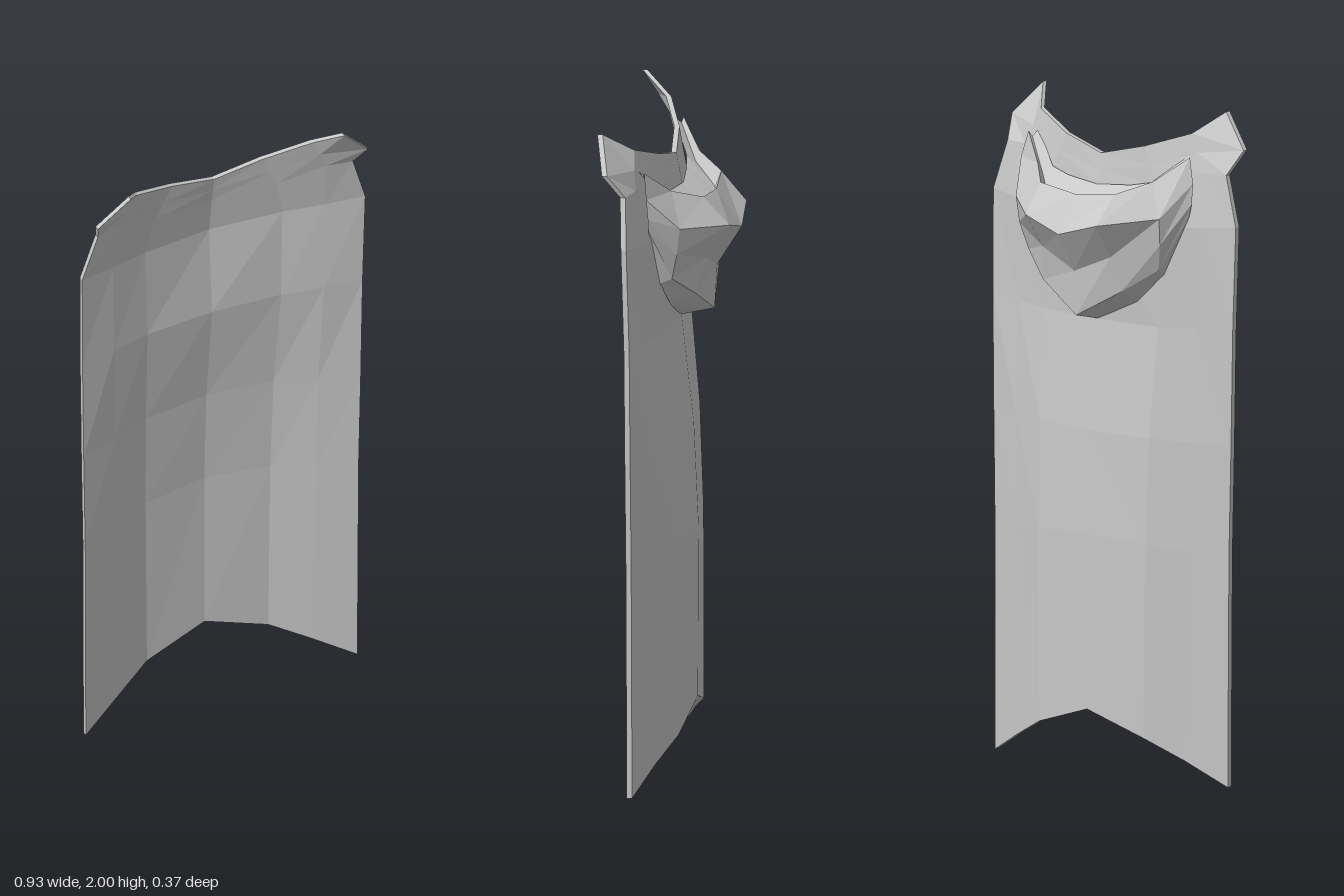
import * as THREE from 'three';

const cloth = new THREE.MeshStandardMaterial({ color: 0xc8c8c8, flatShading: true, side: THREE.DoubleSide });
cloth.name = 'grey cloth';

// Mirrors half a cross-section (x = 0 outwards) to the full width
const mirrorX = half => [...half.slice(1).reverse().map(([x, y, z]) => [-x, y, z]), ...half];

// Joins cross-sections into a sheet that faces u cross v
function sheet(rows, pos, index, flip = false) {
  const start = pos.length / 3, n = rows[0].length;
  rows.forEach(row => row.forEach(p => pos.push(...p)));
  for (let v = 0; v < rows.length - 1; v++) {
    for (let u = 0; u < n - 1; u++) {
      const a = start + v * n + u, b = a + 1, c = b + n, d = a + n;
      if (flip) index.push(a, c, b, a, d, c);
      else index.push(a, b, c, a, c, d);
    }
  }
}

function toMesh(name, pos, index) {
  const geo = new THREE.BufferGeometry();
  geo.setAttribute('position', new THREE.Float32BufferAttribute(pos, 3));
  geo.setIndex(index);
  geo.computeVertexNormals();
  const mesh = new THREE.Mesh(geo, cloth);
  mesh.name = name;
  return mesh;
}

// Curved back cloth with a flared collar, as a thin closed shell
function cape() {
  const thick = 0.016;
  const half = [
    [[0, 0.195, -0.052], [0.2, 0.13, -0.032], [0.32, 0.07, 0.015], [0.447, 0, 0.06]],
    [[0, 0.72, -0.054], [0.205, 0.71, -0.03], [0.33, 0.705, 0.02], [0.45, 0.7, 0.062]],
    [[0, 1.03, -0.04], [0.21, 1.03, -0.018], [0.335, 1.025, 0.026], [0.456, 1.02, 0.064]],
    [[0, 1.36, -0.003], [0.22, 1.36, 0.012], [0.345, 1.365, 0.043], [0.461, 1.37, 0.066]],
    [[0, 1.65, -0.022], [0.225, 1.66, 0.01], [0.35, 1.67, 0.045], [0.466, 1.68, 0.074]],
    [[0, 1.77, -0.004], [0.2, 1.78, 0.024], [0.34, 1.83, 0.07], [0.42, 1.83, 0.085]],
    [[0, 1.81, 0.004], [0.175, 1.835, 0.028], [0.315, 1.885, 0.078], [0.445, 1.9, 0.135]],
    [[0, 1.855, 0.012], [0.15, 1.892, 0.032], [0.29, 1.94, 0.083], [0.352, 2, 0.166]],
  ];
  const back = half.map(mirrorX);
  const front = back.map(row => row.map(([x, y, z]) => [x, y, z + thick]));
  const pos = [], index = [];
  sheet(front, pos, index);
  sheet(back, pos, index, true);
  // Hem, collar edge and both side edges
  const last = back.length - 1, end = back[0].length - 1;
  sheet([back[0], front[0]], pos, index);
  sheet([front[last], back[last]], pos, index);
  sheet([back.map(r => r[0]), front.map(r => r[0])], pos, index, true);
  sheet([back.map(r => r[end]), front.map(r => r[end])], pos, index);
  return toMesh('cape', pos, index);
}

// Lowered hood: collar base, inside fold, rim, bulge, tuck, pouch bottom, seam
function hood() {
  const rows = [
    [[0, 1.765, -0.008], [0.12, 1.775, 0.005], [0.19, 1.79, 0.018], [0.29, 1.88, 0.074]],
    [[0, 1.71, -0.098], [0.125, 1.72, -0.08], [0.21, 1.77, -0.005], [0.3, 1.86, 0.055]],
    [[0, 1.75, -0.107], [0.142, 1.765, -0.095], [0.22, 1.8, -0.015], [0.31, 1.875, 0.05]],
    [[0, 1.64, -0.184], [0.135, 1.68, -0.172], [0.275, 1.7, -0.05], [0.33, 1.8, 0.04]],
    [[0, 1.52, -0.11], [0.13, 1.575, -0.1], [0.27, 1.62, -0.04], [0.33, 1.74, 0.035]],
    [[0, 1.385, -0.102], [0.15, 1.47, -0.075], [0.25, 1.54, -0.022], [0.32, 1.7, 0.035]],
    [[0, 1.36, -0.001], [0.15, 1.43, 0], [0.24, 1.52, 0.016], [0.31, 1.7, 0.038]],
  ].map(mirrorX);
  const pos = [], index = [];
  sheet(rows, pos, index);
  return toMesh('hood', pos, index);
}

export function createModel() {
  const group = new THREE.Group();
  group.name = 'hooded cape';
  group.add(cape(), hood());
  return group;
}
